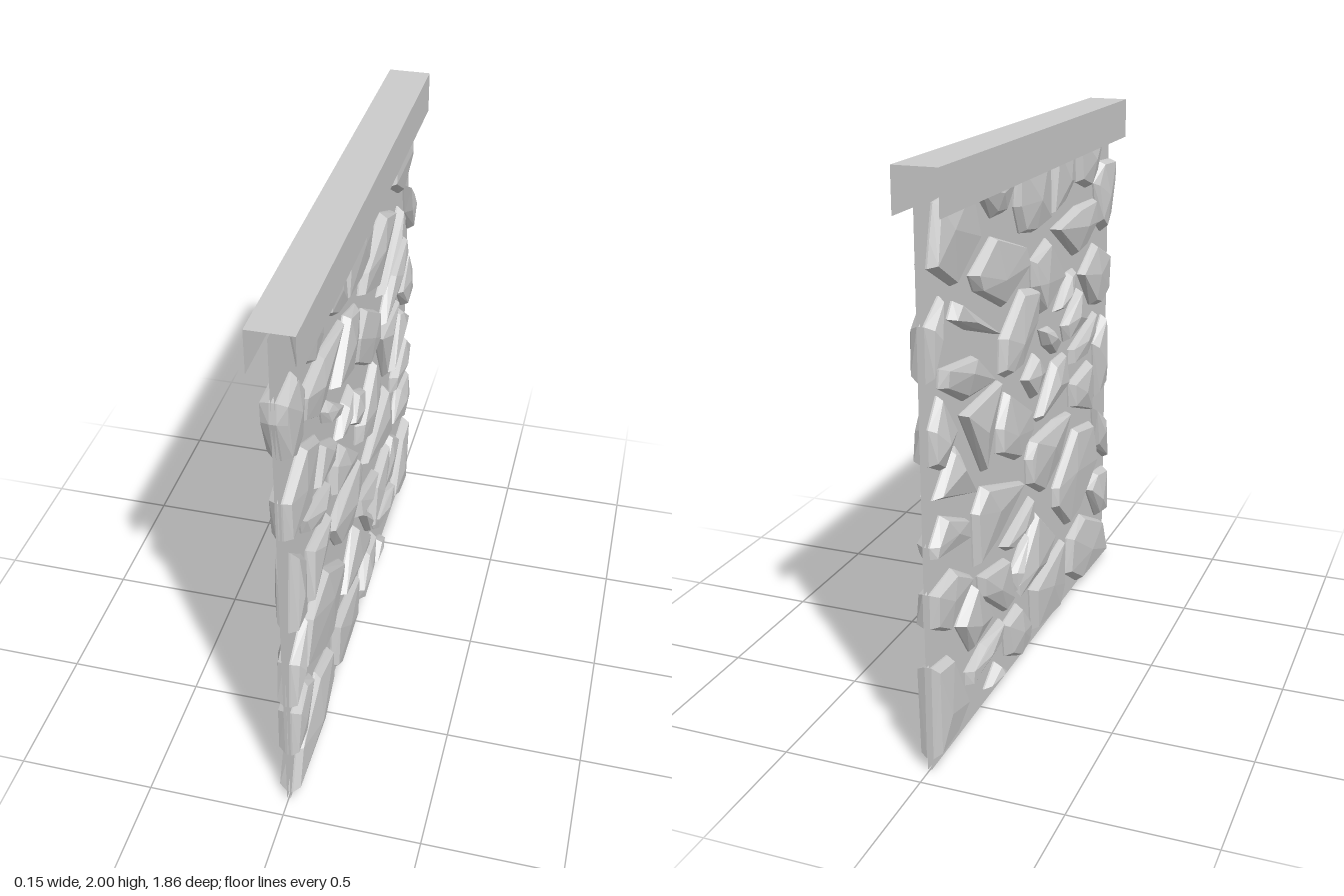
import * as THREE from 'three';
import { ConvexGeometry } from 'three/addons/geometries/ConvexGeometry.js';

const grey = new THREE.MeshStandardMaterial({ color: 0xcccccc, flatShading: true });
const sheet = new THREE.MeshStandardMaterial({ color: 0xcccccc, side: THREE.DoubleSide });

// Small seeded generator for uneven stone faces
let seed = 7;
const rand = () => (seed = (seed * 16807) % 2147483647) / 2147483647;

// Faceted stone set through the wall: corners are (z, y) pairs in hundredths
function stone(...c) {
  const ring = [];
  for (let i = 0; i < c.length; i += 2) ring.push(new THREE.Vector2(c[i] / 100, c[i + 1] / 100));
  const mid = ring.reduce((s, p) => s.add(p), new THREE.Vector2()).divideScalar(ring.length);
  const size = Math.min(...ring.map(p => p.distanceTo(mid)));
  const pts = [];
  for (const side of [-1, 1]) {
    for (const p of ring) {
      // Steep rim, then a narrow bevel up to the face
      const d = p.distanceTo(mid);
      const q = p.clone().lerp(mid, Math.min(0.35, (0.012 + 0.014 * rand()) / d));
      pts.push(new THREE.Vector3(side * 0.012, p.y, p.x));
      pts.push(new THREE.Vector3(side * (0.033 + 0.011 * rand()), q.y, q.x));
    }
    // Off-centre peak
    pts.push(new THREE.Vector3(side * (0.05 + 0.008 * rand()),
      mid.y + (rand() - 0.5) * size * 0.5, mid.x + (rand() - 0.5) * size * 0.5));
  }
  const mesh = new THREE.Mesh(new ConvexGeometry(pts), grey);
  mesh.name = 'stone';
  return mesh;
}

function course(name, stones) {
  const g = new THREE.Group();
  g.name = name;
  g.add(...stones);
  return g;
}

function panel(name, w, h, x, y, rotX, rotY) {
  const m = new THREE.Mesh(new THREE.PlaneGeometry(w, h), sheet);
  m.name = name;
  m.position.set(x, y, 0);
  m.rotation.set(rotX, rotY, 0);
  return m;
}

export function createModel() {
  const wall = new THREE.Group();
  wall.name = 'stoneWall';

  // Mortar faces and the cap, a channel open at its ends and underside
  const cap = new THREE.Group();
  cap.name = 'cap';
  for (const s of [-1, 1]) {
    wall.add(panel('mortarFace', 1.85, 1.98, s * 0.006, 0.99, 0, s * Math.PI / 2));
    cap.add(panel('capSide', 1.85, 0.15, s * 0.076, 1.925, 0, s * Math.PI / 2));
  }
  cap.add(panel('capTop', 0.152, 1.85, 0, 2, -Math.PI / 2, 0));
  wall.add(cap);

  // Stones, from the top down
  wall.add(course('topCourse', [
    stone(76, 190, 48, 191, 49, 173, 61, 169, 70, 174),
    stone(40, 190, 21, 190, 18, 166, 30, 167, 42, 175),
    stone(13, 192, -16, 190, -17, 175, -12, 165, 0, 163, 17, 165),
    stone(-21, 185, -30, 191, -52, 187, -38, 175, -27, 175),
    stone(-57, 190, -83, 188, -86, 177, -88, 169, -71, 160, -52, 172),
  ]));
  wall.add(course('upperCourse', [
    stone(92, 176, 77, 177, 71, 169, 75, 152, 81, 148, 89, 153, 93, 169),
    stone(71, 163, 48, 164, 21, 160, 46, 145, 58, 146, 71, 154),
    stone(15, 158, -1, 153, 0, 143, 9, 131, 33, 140),
    stone(-9, 160, -38, 169, -57, 160, -53, 154, -29, 143, -6, 153),
    stone(-35, 135, -70, 155, -74, 150, -60, 143),
    stone(-80, 159, -91, 152, -91, 134, -84, 145),
  ]));
  wall.add(course('upperMiddleCourse', [
    stone(90, 137, 71, 145, 53, 136, 68, 120, 77, 118, 90, 122),
    stone(46, 140, 39, 140, 24, 128, 29, 127, 44, 134),
    stone(4, 142, -11, 145, -31, 132, -32, 120, -26, 117, -16, 117, 4, 131),
    stone(-38, 120, -55, 133, -81, 136, -82, 130, -63, 120),
    stone(-83, 128, -90, 119, -90, 107, -82, 103, -73, 114),
    stone(51, 131, 33, 120, 36, 113, 58, 117),
    stone(18, 124, 8, 125, 12, 118, 22, 112, 29, 115),
    stone(2, 118, -10, 111, 0, 101, 11, 109),
  ]));
  wall.add(course('middleCourse', [
    stone(73, 116, 42, 108, 42, 102, 58, 101, 71, 109),
    stone(84, 112, 73, 102, 76, 78, 88, 80),
    stone(35, 109, 22, 109, 4, 92, 6, 90, 37, 97),
    stone(-27, 112, -35, 101, -35, 92, -17, 83, -2, 90, -3, 98),
    stone(-33, 118, -66, 116, -48, 90),
    stone(-70, 107, -74, 107, -88, 95, -57, 86),
    stone(66, 97, 42, 94, 43, 84, 68, 75),
  ]));
  wall.add(course('lowerMiddleCourse', [
    stone(40, 83, 24, 85, -2, 85, -6, 79, -5, 69, 10, 60, 29, 67),
    stone(-12, 73, -49, 85, -57, 78, -56, 58, -39, 60),
    stone(-63, 79, -83, 88, -91, 80, -91, 76, -62, 72),
    stone(88, 65, 73, 74, 77, 55, 90, 46),
    stone(70, 69, 48, 73, 24, 56, 24, 48, 40, 34, 53, 36, 76, 51),
    stone(-2, 63, -32, 55, -26, 51, -1, 55),
    stone(-60, 57, -75, 66, -92, 64, -92, 52, -81, 46),
  ]));
  wall.add(course('lowerCourse', [
    stone(24, 37, 3, 55, -19, 33, -18, 28, 12, 30),
    stone(-8, 51, -23, 40, -21, 31),
    stone(-23, 31, -28, 49, -53, 53, -52, 45, -29, 28),
    stone(-59, 53, -72, 43, -61, 28, -43, 34),
    stone(89, 42, 75, 44, 67, 39, 80, 22, 90, 21),
  ]));
  wall.add(course('bottomCourse', [
    stone(91, 2, 85, 18, 59, 31, 42, 27, 40, 12, 55, 2),
    stone(36, 10, 34, 30, -2, 24, 0, 6, 29, 3),
    stone(-5, 12, -16, 25, -30, 23, -28, 9, -16, 3, -6, 6),
    stone(-33, 27, -51, 26, -65, 22, -65, 17, -35, 20),
    stone(-30, 5, -38, 12, -48, 6),
    stone(-66, 12, -79, 36, -92, 38, -92, 4, -76, 5),
  ]));
  return wall;
}
